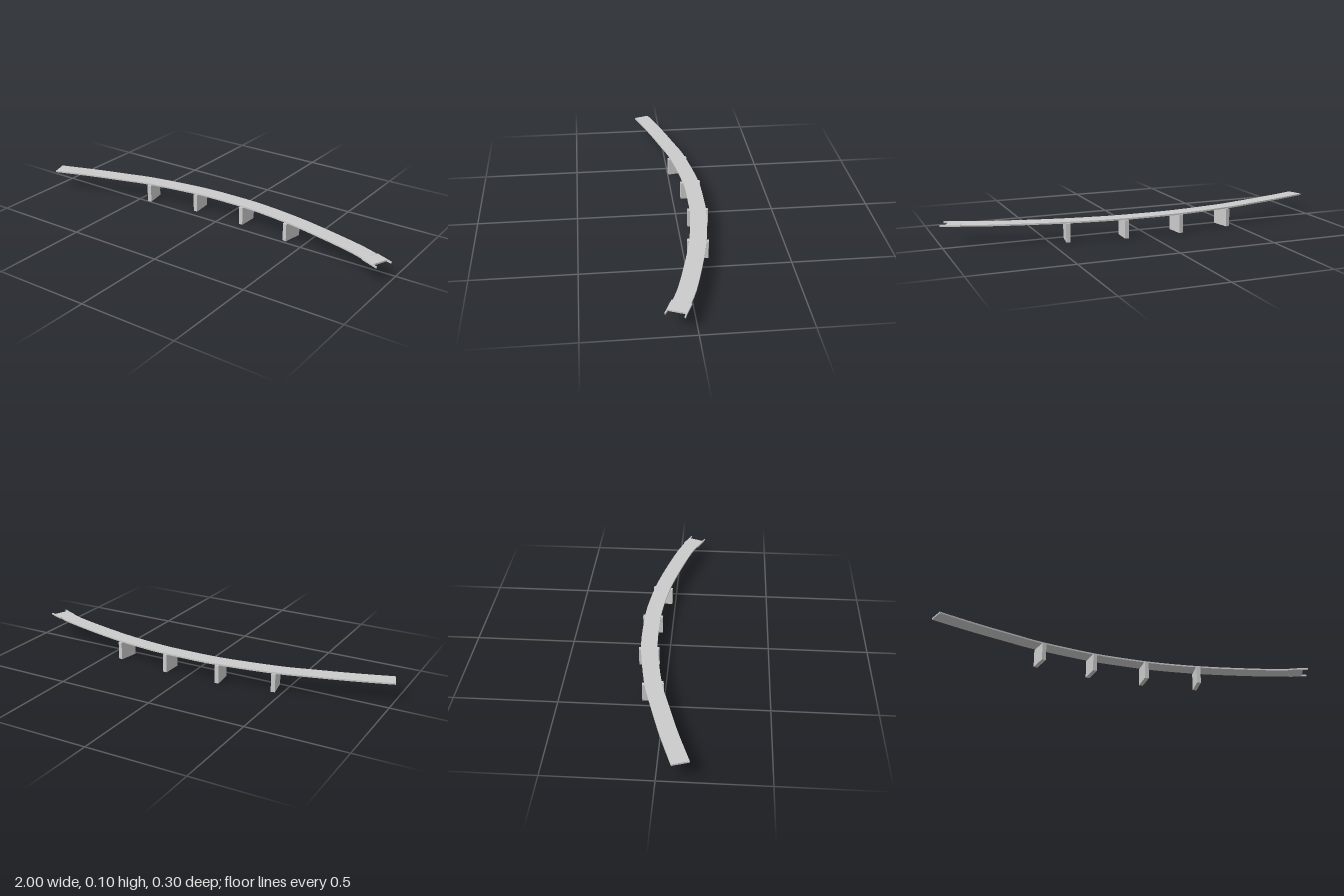
import * as THREE from 'three';

const TOP = 0.1, THICK = 0.008, HALF = 0.041;

export function createModel() {
  const group = new THREE.Group();
  group.name = 'curvedBridge';
  const material = new THREE.MeshStandardMaterial({ color: 0xcccccc, flatShading: true });

  const add = (geometry, name) => {
    const mesh = new THREE.Mesh(geometry, material);
    mesh.name = name;
    group.add(mesh);
    return mesh;
  };

  // Centre line of the deck, as (x, z)
  const path = new THREE.SplineCurve([
    [-0.99, 0.106], [-0.8, 0.043], [-0.6, -0.014], [-0.45, -0.053], [-0.17, -0.094],
    [0.04, -0.1], [0.2, -0.094], [0.41, -0.066], [0.6, -0.025], [0.8, 0.028], [0.893, 0.062],
  ].map(([x, z]) => new THREE.Vector2(x, z)));

  // Flat plan outline (x, z) becomes a thin slab under the road surface
  const slab = (points) => new THREE.ExtrudeGeometry(new THREE.Shape(points), { depth: THICK, bevelEnabled: false })
    .rotateX(Math.PI / 2).translate(0, TOP, 0);

  // Deck
  const near = [], far = [];
  for (let i = 0; i <= 40; i++) {
    const p = path.getPointAt(i / 40), t = path.getTangentAt(i / 40);
    const n = new THREE.Vector2(-t.y, t.x).multiplyScalar(HALF);
    near.push(p.clone().add(n));
    far.unshift(p.clone().sub(n));
  }
  add(slab([...near, ...far]), 'deck');

  // Widened end plate with a thin prong at each corner
  const a = Math.atan2(0.39, 0.92);
  const half = [[0, 0.046], [0.096, 0.046], [0.096, 0.041], [0.07, 0.038]];
  const plate = [...half, ...half.map(([u, v]) => [u, -v]).reverse()]
    .map(([u, v]) => new THREE.Vector2(
      0.893 + u * Math.cos(a) - v * Math.sin(a),
      0.062 + u * Math.sin(a) + v * Math.cos(a)));
  add(slab(plate), 'endPlate');

  // Piers, set square to the deck
  const height = TOP - THICK;
  for (const x of [-0.446, -0.165, 0.123, 0.408]) {
    let best = 0;
    for (let i = 0; i <= 400; i++) {
      if (Math.abs(path.getPointAt(i / 400).x - x) < Math.abs(path.getPointAt(best).x - x)) best = i / 400;
    }
    const p = path.getPointAt(best), t = path.getTangentAt(best);
    const pier = add(new THREE.BoxGeometry(0.021, height, 0.102), 'pier');
    pier.position.set(x, height / 2, p.y);
    pier.rotation.y = -Math.atan2(t.y, t.x);
  }
  return group;
}
